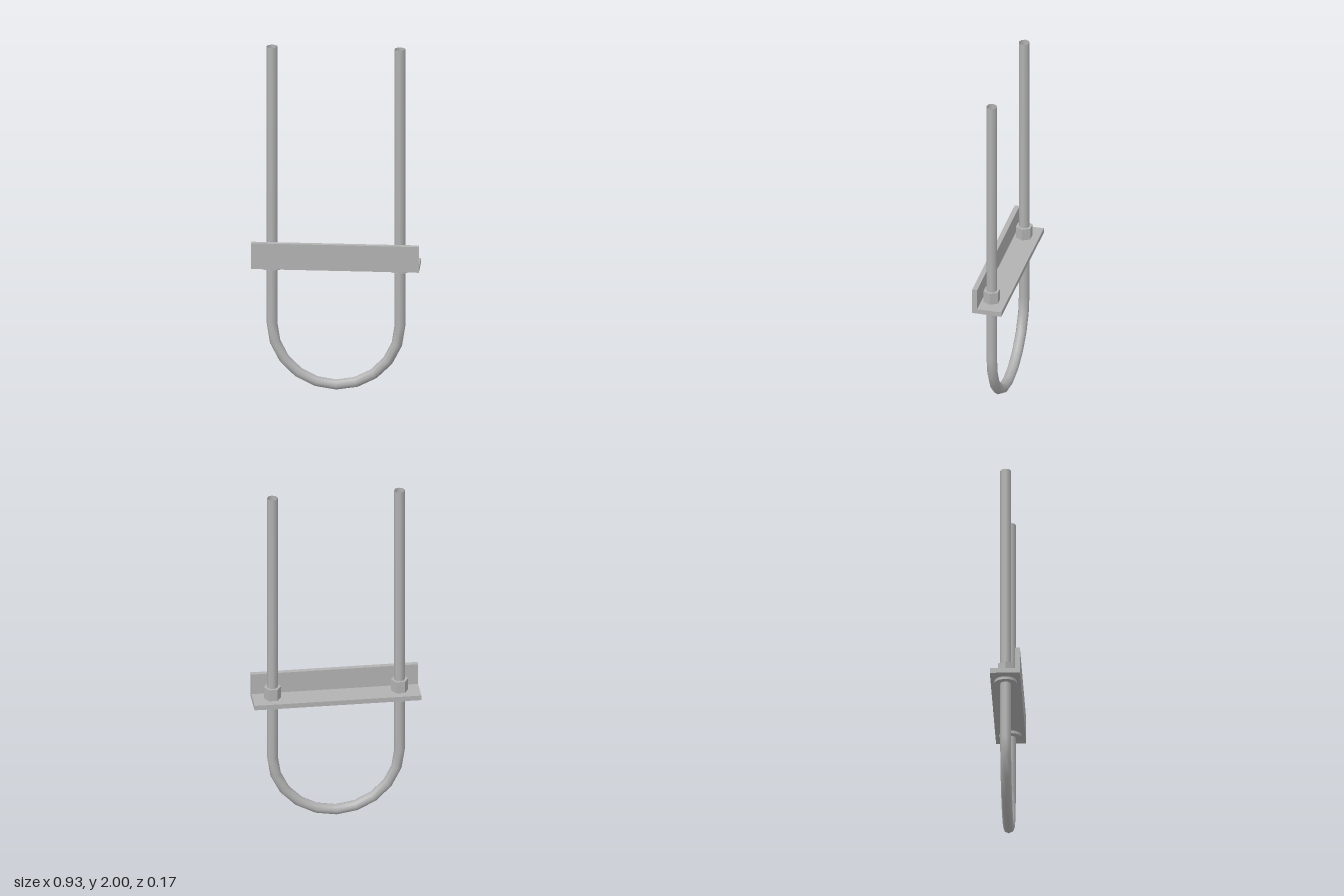
import * as THREE from 'three';

export function createModel() {
  const model = new THREE.Group();
  const steel = new THREE.MeshStandardMaterial({ color: 0xb2b2b2, side: THREE.DoubleSide });
  steel.name = 'steel grey';

  const rodX = 0.353, rodR = 0.03, bendY = rodX + rodR, topY = 2;

  function add(name, geometry, x, y, z) {
    const mesh = new THREE.Mesh(geometry, steel);
    mesh.name = name;
    mesh.position.set(x, y, z);
    model.add(mesh);
    return mesh;
  }

  // U-shaped bend at the bottom of the bolt
  add('bend', new THREE.TorusGeometry(rodX, rodR, 8, 10, Math.PI), 0, bendY, 0).rotation.z = Math.PI;

  // Straight rod, nut and washer on each side
  for (const [side, s] of [['left', 1], ['right', -1]]) {
    const length = topY - bendY;
    add(side + 'Rod', new THREE.CylinderGeometry(rodR, rodR, length, 8, 1, true), s * rodX, bendY + length / 2, 0);
    const nut = new THREE.CylinderGeometry(0.0475, 0.0475, 0.07, 6, 1, false, Math.PI / 6).toNonIndexed();
    nut.computeVertexNormals();
    add(side + 'Nut', nut, s * rodX, 0.786, 0);
    add(side + 'Washer', new THREE.CylinderGeometry(0.062, 0.062, 0.016, 16), s * rodX, 0.716, 0);
  }

  // L-section crossbar: flat base with an upright flange at the front
  const section = new THREE.Shape([
    [-0.083, 0.724], [0.083, 0.724], [0.083, 0.874],
    [0.055, 0.874], [0.055, 0.752], [-0.083, 0.752],
  ].map(([z, y]) => new THREE.Vector2(-z, y)));
  const bar = new THREE.ExtrudeGeometry(section, { depth: 0.926, bevelEnabled: false });
  bar.translate(0, 0, -0.463).rotateY(Math.PI / 2);
  add('angleBar', bar, 0, 0, 0);

  return model;
}
